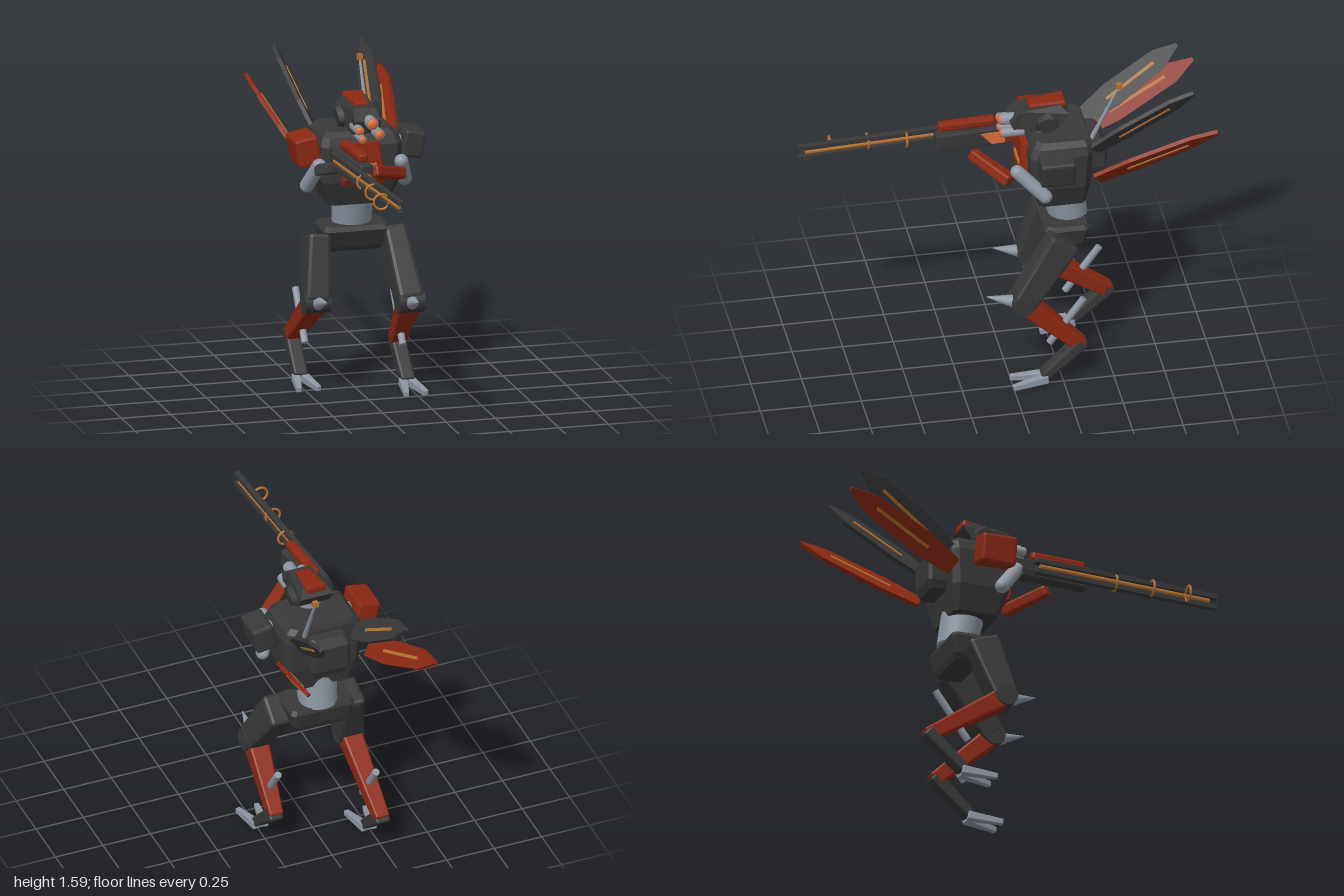
import * as THREE from 'three';
import { RoundedBoxGeometry } from 'three/addons/geometries/RoundedBoxGeometry.js';

const paint = (name, color) => Object.assign(new THREE.MeshStandardMaterial({ color }), { name });
const V = (x, y, z) => new THREE.Vector3(x, y, z);

export function createModel() {
  const model = new THREE.Group();
  model.name = 'walkerRobot';
  const dark = paint('charcoal armour', 0x383838);
  const red = paint('rust red armour', 0x8c2812);
  const steel = paint('steel', 0x8c95a1);
  const copper = paint('copper', 0xb5712f);
  const orange = paint('orange lens', 0xe0703c);

  const add = (name, geo, mat, pos) => {
    const m = new THREE.Mesh(geo, mat);
    m.name = name;
    if (pos) m.position.copy(pos);
    model.add(m);
    return m;
  };
  const flat = (geo) => {
    const g = geo.index ? geo.toNonIndexed() : geo;
    g.computeVertexNormals();
    return g;
  };
  // Turns a mesh so its y axis runs from a to b, with its x axis kept near world x
  const aim = (mesh, a, b) => {
    const y = b.clone().sub(a).normalize();
    const ref = Math.abs(y.x) > 0.8 ? V(0, 0, -1) : V(1, 0, 0);
    const x = ref.addScaledVector(y, -ref.dot(y)).normalize();
    mesh.quaternion.setFromRotationMatrix(new THREE.Matrix4().makeBasis(x, y, x.clone().cross(y)));
    mesh.position.copy(a).lerp(b, 0.5);
    return mesh;
  };
  const rod = (name, a, b, r0, r1, mat, sides = 16) =>
    aim(add(name, new THREE.CylinderGeometry(r1, r0, a.distanceTo(b), sides), mat), a, b);
  const capsule = (name, a, b, r, mat) =>
    aim(add(name, new THREE.CapsuleGeometry(r, a.distanceTo(b), 6, 16), mat), a, b);
  // Bevelled bar that tapers from w0 x d0 at a to w1 x d1 at b
  const bar = (name, a, b, [w0, d0], [w1, d1], mat, bevel = 0.012) => {
    const L = a.distanceTo(b);
    const g = new RoundedBoxGeometry(w0, L, d0, 1, bevel);
    const p = g.attributes.position;
    for (let i = 0; i < p.count; i++) {
      const t = p.getY(i) / L + 0.5;
      p.setX(i, p.getX(i) * (1 + t * (w1 / w0 - 1)));
      p.setZ(i, p.getZ(i) * (1 + t * (d1 / d0 - 1)));
    }
    return aim(add(name, flat(g), mat), a, b);
  };
  // Stacked chamfered rectangles: each row is [y, half width, z back, z front, chamfer]
  const loft = (name, rows, mat) => {
    const pos = [], idx = [];
    for (const [y, h, z0, z1, c] of rows) {
      for (const [x, z] of [[h - c, z1], [h, z1 - c], [h, z0 + c], [h - c, z0],
        [c - h, z0], [-h, z0 + c], [-h, z1 - c], [c - h, z1]]) pos.push(x, y, z);
    }
    for (let r = 0; r < rows.length - 1; r++) {
      for (let i = 0; i < 8; i++) {
        const a = r * 8 + i, b = r * 8 + (i + 1) % 8;
        idx.push(a, b, b + 8, a, b + 8, a + 8);
      }
    }
    const top = (rows.length - 1) * 8;
    for (let i = 1; i < 7; i++) idx.push(0, i + 1, i, top, top + i, top + i + 1);
    const g = new THREE.BufferGeometry();
    g.setAttribute('position', new THREE.Float32BufferAttribute(pos, 3));
    g.setIndex(idx);
    return add(name, flat(g), mat);
  };

  // Body core
  loft('pelvis', [[0.70, 0.135, -0.37, -0.24, 0.02], [0.725, 0.15, -0.38, -0.22, 0.02],
    [0.81, 0.168, -0.40, -0.18, 0.02], [0.832, 0.155, -0.39, -0.20, 0.02]], dark);
  rod('waist', V(0, 0.81, -0.32), V(0, 0.98, -0.285), 0.095, 0.105, steel, 24);
  loft('torso', [[0.955, 0.148, -0.38, -0.15, 0.02], [1.08, 0.195, -0.40, -0.105, 0.03],
    [1.26, 0.205, -0.41, -0.10, 0.03], [1.305, 0.19, -0.41, -0.12, 0.03],
    [1.33, 0.165, -0.40, -0.14, 0.03]], dark);
  loft('backpack', [[1.08, 0.085, -0.48, -0.38, 0.015], [1.12, 0.1, -0.495, -0.38, 0.015],
    [1.25, 0.1, -0.495, -0.38, 0.015], [1.29, 0.085, -0.46, -0.38, 0.015]], dark);
  loft('chestPlate', [[1.07, 0.108, -0.13, -0.08, 0.01], [1.1, 0.108, -0.13, -0.065, 0.01],
    [1.28, 0.078, -0.13, -0.075, 0.01]], red);
  add('chestVent', new THREE.BoxGeometry(0.12, 0.02, 0.012), copper, V(0, 1.17, -0.066));

  // Head
  rod('neck', V(0, 1.3, -0.195), V(0, 1.38, -0.195), 0.06, 0.06, steel, 20);
  const side = new THREE.Shape([[-0.02, 1.405], [-0.08, 1.455], [-0.27, 1.475], [-0.31, 1.435],
    [-0.26, 1.365], [-0.05, 1.335]].map(([z, y]) => new THREE.Vector2(-z, y)));
  const headGeo = new THREE.ExtrudeGeometry(side, { depth: 0.17, bevelEnabled: false, steps: 1 });
  headGeo.rotateY(Math.PI / 2).translate(-0.085, 0, 0);
  const hp = headGeo.attributes.position;
  for (let i = 0; i < hp.count; i++) {
    const k = (hp.getY(i) > 1.45 ? 0.68 : 1) * (hp.getZ(i) > -0.06 ? 0.8 : 1);
    hp.setX(i, hp.getX(i) * k);
  }
  add('head', flat(headGeo), dark);
  bar('crest', V(0, 1.458, -0.12), V(0, 1.472, -0.30), [0.07, 0.03], [0.108, 0.04], red, 0.008);
  for (const s of [1, -1]) {
    rod('earPlate', V(s * 0.08, 1.395, -0.2), V(s * 0.107, 1.39, -0.2), 0.062, 0.05, dark, 6);
  }
  // Lens cluster
  for (const [x, y, r] of [[0.015, 1.4, 0.03], [-0.05, 1.37, 0.023], [0.05, 1.345, 0.025], [-0.035, 1.325, 0.019]]) {
    rod('lensTube', V(x, y, -0.09), V(x, y, 0.02), r, r, steel);
    const lens = add('lens', new THREE.SphereGeometry(r * 0.88, 16, 10), orange, V(x, y, 0.02));
    lens.scale.z = 0.55;
  }
  rod('antenna', V(0.11, 1.3, -0.415), V(0.11, 1.58, -0.55), 0.013, 0.006, steel, 8);
  add('antennaTip', new THREE.BoxGeometry(0.026, 0.026, 0.026), copper, V(0.11, 1.585, -0.552));

  // Back blades
  const blade = (name, root, tip, s, mat) => {
    const u = tip.clone().sub(root), L = u.length();
    u.normalize();
    const v = V(-s * 0.55, -0.7, -0.5);
    v.addScaledVector(u, -v.dot(u)).normalize();
    const half = [[0, 0.045], [0.3 * L, 0.064], [0.8 * L, 0.052], [L, 0.008]];
    const outline = [...half, ...half.map(([a, w]) => [a, -w]).reverse()];
    const shape = new THREE.Shape(outline.map(([a, w]) => new THREE.Vector2(a, w)));
    const g = new THREE.ExtrudeGeometry(shape, { depth: 0.02, bevelEnabled: false }).translate(0, 0, -0.01);
    const m = add(name, g, mat, root);
    m.quaternion.setFromRotationMatrix(new THREE.Matrix4().makeBasis(u, v, u.clone().cross(v)));
    const stripe = new THREE.Mesh(new THREE.BoxGeometry(0.5 * L, 0.016, 0.028), copper);
    stripe.name = 'bladeStripe';
    stripe.position.x = 0.5 * L;
    m.add(stripe);
  };
  for (const s of [1, -1]) {
    blade('upperBlade', V(s * 0.15, 1.26, -0.42), V(s * 0.225, 1.575, -0.9), s, dark);
    blade('lowerBlade', V(s * 0.225, 1.14, -0.42), V(s * 0.338, 1.41, -1.0), s, red);
  }

  // Legs: s is the side, then the z of knee, ankle and foot, and the piston's top z
  for (const [s, kz, az, fz, pz] of [[1, -0.05, -0.335, -0.15, -0.355], [-1, -0.16, -0.555, -0.37, -0.515]]) {
    const knee = V(s * 0.222, 0.475, kz), ankle = V(s * 0.235, 0.215, az), ball = V(s * 0.24, 0.045, fz);
    bar('thigh', V(s * 0.19, 0.785, -0.265), knee, [0.11, 0.165], [0.13, 0.125], dark, 0.018);
    rod('kneeJoint', V(s * 0.157, 0.475, kz), V(s * 0.287, 0.475, kz), 0.056, 0.056, dark, 20);
    rod('kneeSpike', V(s * 0.222, 0.475, kz + 0.03), V(s * 0.215, 0.513, kz + 0.175), 0.036, 0.002, steel, 12);
    bar('shin', knee, ankle.clone().add(V(0, -0.015, -0.01)), [0.11, 0.1], [0.07, 0.07], red);
    rod('piston', V(s * 0.225, 0.455, pz), V(s * 0.225, 0.22, pz + 0.17), 0.018, 0.018, steel, 12);
    bar('metatarsal', ankle.clone().add(V(0, 0.01, -0.015)), ball, [0.075, 0.07], [0.07, 0.05], dark);
    for (const t of [1, -1]) {
      bar('toe', V(s * 0.24 + t * 0.018, 0.038, fz - 0.02), V(s * 0.24 + t * 0.05, 0.02, fz + 0.155),
        [0.045, 0.045], [0.025, 0.028], steel, 0.006);
    }
  }

  // Shoulders and arms
  for (const [s, mat, k] of [[1, dark, 1], [-1, red, 1.08]]) {
    const pad = add('shoulderPad', flat(new RoundedBoxGeometry(0.11 * k, 0.135 * k, 0.17 * k, 1, 0.014)), mat,
      V(s * 0.267, 1.24, -0.215));
    pad.rotation.z = -s * 0.2;
    rod('shoulderJoint', V(s * 0.17, 1.23, -0.21), V(s * 0.25, 1.23, -0.21), 0.045, 0.045, steel);
  }
  capsule('leftUpperArm', V(0.175, 1.19, -0.035), V(0.228, 1.065, -0.165), 0.034, steel);
  bar('leftForearm', V(0.165, 1.135, -0.005), V(-0.02, 1.2, 0.155), [0.07, 0.06], [0.055, 0.055], red);
  capsule('rightUpperArm', V(-0.225, 1.18, -0.09), V(-0.262, 1.06, -0.18), 0.035, steel);
  bar('rightForearm', V(-0.235, 1.16, -0.09), V(-0.14, 1.2, 0.04), [0.06, 0.06], [0.05, 0.05], dark);

  // Rifle
  const slope = 0.072;
  const barrelX = (z) => -0.187 + slope * z;
  for (const y of [1.265, 1.21]) {
    bar('barrelRail', V(barrelX(0.02), y, 0.02), V(barrelX(1), y, 1), [0.03, 0.028], [0.026, 0.028], dark, 0.004);
  }
  rod('energyRod', V(barrelX(0.05), 1.238, 0.05), V(barrelX(0.96), 1.238, 0.96), 0.012, 0.012, copper, 10);
  for (const [x, z] of [[-0.148, 0.455], [-0.16, 0.645], [-0.17, 0.83]]) {
    add('coilRing', new THREE.TorusGeometry(0.038, 0.006, 8, 24), copper, V(x, 1.235, z));
  }
  bar('receiver', V(-0.135, 1.235, -0.09), V(-0.1, 1.235, 0.32), [0.075, 0.09], [0.07, 0.088], dark, 0.008);
  bar('scope', V(-0.128, 1.31, 0.02), V(-0.11, 1.31, 0.305), [0.05, 0.046], [0.05, 0.046], red, 0.014);
  add('scopeMount', new THREE.BoxGeometry(0.025, 0.04, 0.08), dark, V(-0.115, 1.285, 0.15));
  const panel = new THREE.Shape([[-0.1, 1.268], [0.02, 1.268], [0.02, 1.205], [-0.045, 1.205]]
    .map(([a, y]) => new THREE.Vector2(a, y)));
  const plate = new THREE.ExtrudeGeometry(panel, { depth: 0.006, bevelEnabled: false }).rotateY(Math.PI / 2);
  add('receiverPanel', plate, orange, V(-0.081, 0, 0)).rotation.y = 0.085;
  add('receiverStock', new THREE.BoxGeometry(0.07, 0.07, 0.1), red, V(-0.12, 1.238, -0.07));

  return model;
}
